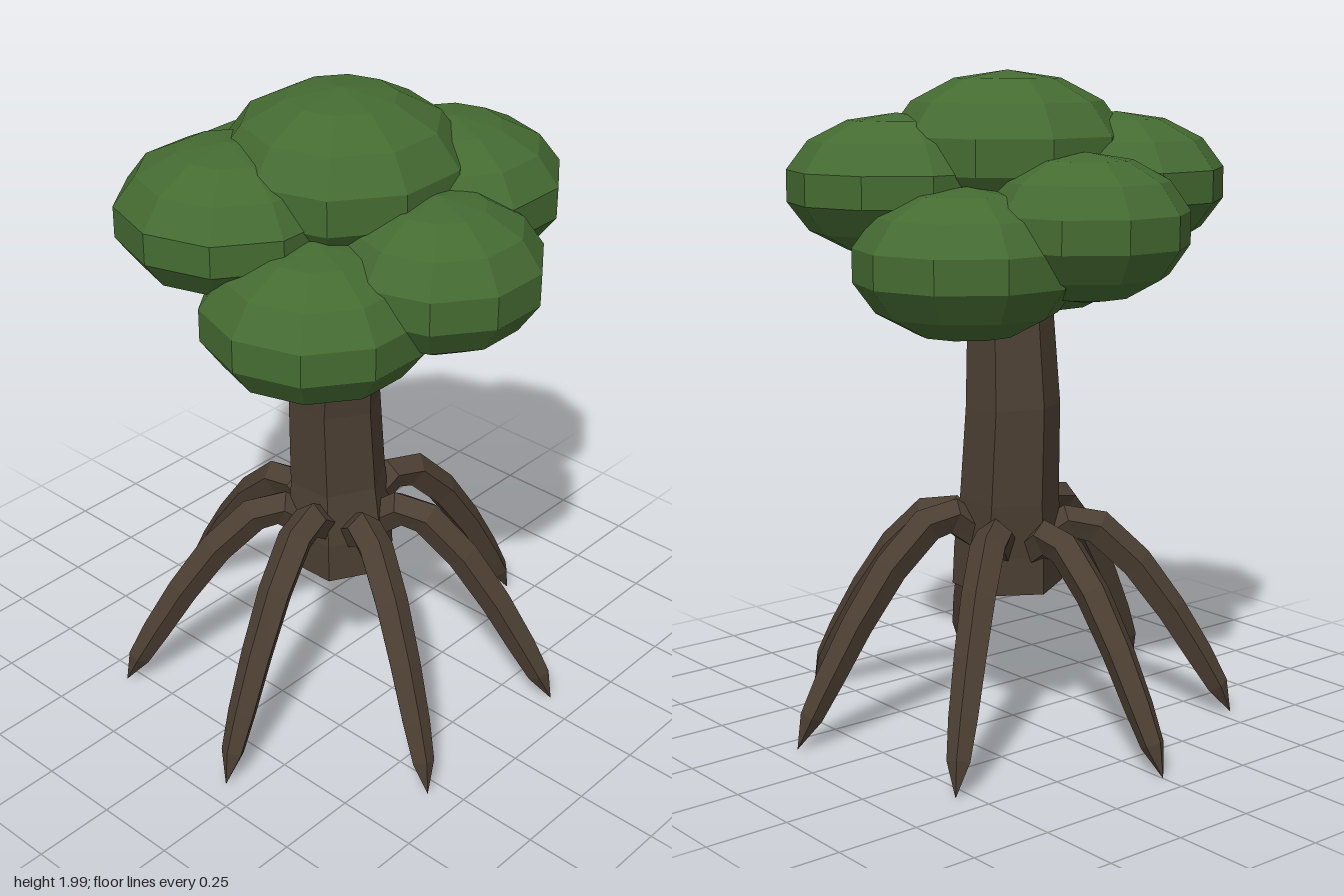
import * as THREE from 'three';

// Faceted copy of a geometry, one normal per face
function facet(geometry) {
  const g = geometry.index ? geometry.toNonIndexed() : geometry;
  g.computeVertexNormals();
  return g;
}

// Sweep a regular polygon along rings [x, y, z, radius]; `side` is a fixed sideways axis
function sweep(rings, sides, side) {
  const centres = rings.map(([x, y, z]) => new THREE.Vector3(x, y, z));
  const last = rings.length - 1;
  const loops = centres.map((c, i) => {
    const tangent = centres[Math.min(i + 1, last)].clone()
      .sub(centres[Math.max(i - 1, 0)]).normalize();
    const up = side.clone().cross(tangent).normalize();
    return Array.from({ length: sides }, (_, j) => {
      const a = (j / sides) * Math.PI * 2;
      return c.clone()
        .addScaledVector(up, Math.cos(a) * rings[i][3])
        .addScaledVector(side, Math.sin(a) * rings[i][3]);
    });
  });
  const points = [];
  for (let i = 0; i < last; i++) {
    for (let j = 0; j < sides; j++) {
      const k = (j + 1) % sides;
      const [a, b, c, d] = [loops[i][j], loops[i][k], loops[i + 1][k], loops[i + 1][j]];
      if (rings[i][3] > 0) points.push(a, b, d);
      if (rings[i + 1][3] > 0) points.push(b, c, d);
    }
  }
  return facet(new THREE.BufferGeometry().setFromPoints(points));
}

export function createModel() {
  const bark = new THREE.MeshStandardMaterial({ color: 0x4b3e32 });
  bark.name = 'bark';
  const leaf = new THREE.MeshStandardMaterial({ color: 0x456b32 });
  leaf.name = 'leaf green';

  const tree = new THREE.Group();
  tree.name = 'stiltRootTree';
  const add = (name, geometry, material, parent = tree) => {
    const mesh = new THREE.Mesh(geometry, material);
    mesh.name = name;
    parent.add(mesh);
    return mesh;
  };

  // Gently bent six-sided trunk, closed at both ends
  add('trunk', sweep([
    [0, 0.44, 0.025, 0],
    [0, 0.44, 0.025, 0.172],
    [0, 0.56, 0.022, 0.168],
    [0.01, 0.72, 0.003, 0.153],
    [0.002, 1.0, -0.004, 0.145],
    [-0.014, 1.28, 0.028, 0.132],
    [-0.025, 1.52, 0.06, 0.12],
    [-0.025, 1.52, 0.06, 0],
  ], 6, new THREE.Vector3(1, 0, 0)), bark);

  // Seven arching stilt roots: [distance from trunk axis, height, radius]
  const arch = [
    [0.07, 0.58, 0], [0.07, 0.58, 0.055], [0.19, 0.668, 0.056], [0.275, 0.65, 0.056],
    [0.395, 0.53, 0.054], [0.505, 0.37, 0.05], [0.595, 0.215, 0.045],
    [0.655, 0.105, 0.036], [0.70, 0.01, 0],
  ];
  const archHeights = [0.92, 0.94, 1, 0.96];
  const roots = new THREE.Group();
  roots.name = 'roots';
  tree.add(roots);
  for (let i = 0; i < 7; i++) {
    const angle = (i / 7) * Math.PI * 2;
    const dir = new THREE.Vector3(Math.sin(angle), 0, -Math.cos(angle));
    const side = dir.clone().cross(new THREE.Vector3(0, 1, 0));
    const h = archHeights[Math.min(i, 7 - i)];
    const rings = arch.map(([r, y, radius]) =>
      [dir.x * r, 0.01 + (y - 0.01) * h, dir.z * r + 0.025, radius]);
    add('root' + (i + 1), sweep(rings, 5, side), bark, roots);
  }

  // Flattened leaf clumps: [x, y, z, radius, half height]
  const clumps = [
    ['crownClump', 0, 1.76, 0.025, 0.365, 0.24],
    ['frontClump', 0, 1.56, 0.385, 0.31, 0.22],
    ['backClump', 0, 1.56, -0.325, 0.31, 0.215],
    ['frontLeftClump', 0.285, 1.665, 0.19, 0.334, 0.212],
    ['frontRightClump', -0.285, 1.46, 0.19, 0.334, 0.22],
    ['backLeftClump', 0.285, 1.46, -0.14, 0.334, 0.22],
    ['backRightClump', -0.285, 1.665, -0.14, 0.334, 0.212],
  ];
  const foliage = new THREE.Group();
  foliage.name = 'foliage';
  tree.add(foliage);
  for (const [name, x, y, z, r, h] of clumps) {
    const geometry = facet(new THREE.SphereGeometry(1, 10, 7).scale(r, h, r));
    add(name, geometry, leaf, foliage).position.set(x, y, z);
  }

  return tree;
}
